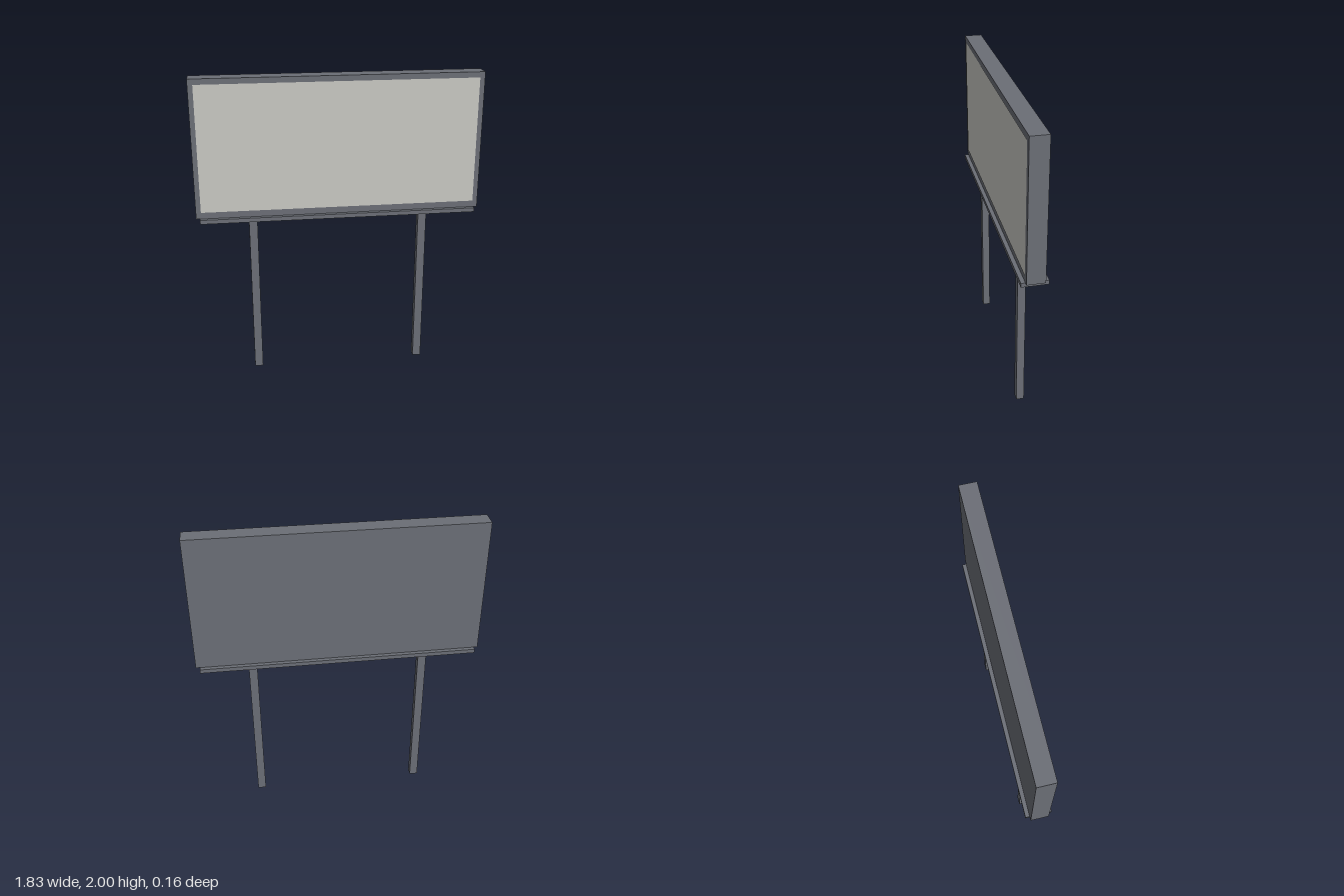
import * as THREE from 'three';

// Box standing on y0 with its underside left open
function openBox(w, y0, y1, d) {
  const geo = new THREE.BoxGeometry(w, y1 - y0, d);
  const index = Array.from(geo.index.array);
  index.splice(18, 6); // drop the bottom face
  geo.setIndex(index);
  geo.clearGroups();
  geo.translate(0, (y0 + y1) / 2, 0);
  return geo;
}

export function createModel() {
  const steel = new THREE.MeshStandardMaterial({ color: 0x6b6e76, side: THREE.DoubleSide });
  steel.name = 'steel grey';
  const paper = new THREE.MeshStandardMaterial({ color: 0xc9c9c3 });
  paper.name = 'pale grey';

  const model = new THREE.Group();
  model.name = 'billboard';
  const add = (name, geo, mat, x = 0, y = 0, z = 0) => {
    const mesh = new THREE.Mesh(geo, mat);
    mesh.name = name;
    mesh.position.set(x, y, z);
    model.add(mesh);
  };

  const ledgeTop = 1.113;
  const boardHeight = 2 - ledgeTop;

  // Board and its blank poster face
  add('board', new THREE.BoxGeometry(1.826, boardHeight, 0.112), steel, 0, ledgeTop + boardHeight / 2, 0);
  add('posterPanel', new THREE.PlaneGeometry(1.762, 0.81), paper, 0, 1.56, 0.058);

  // Hollow ledge under the board
  add('ledge', openBox(1.776, 1.086, ledgeTop, 0.164), steel);

  // Two hollow posts
  for (const side of [-1, 1]) {
    add(side > 0 ? 'leftPost' : 'rightPost', openBox(0.054, 0, ledgeTop - 0.001, 0.05), steel, side * 0.554);
  }
  return model;
}
